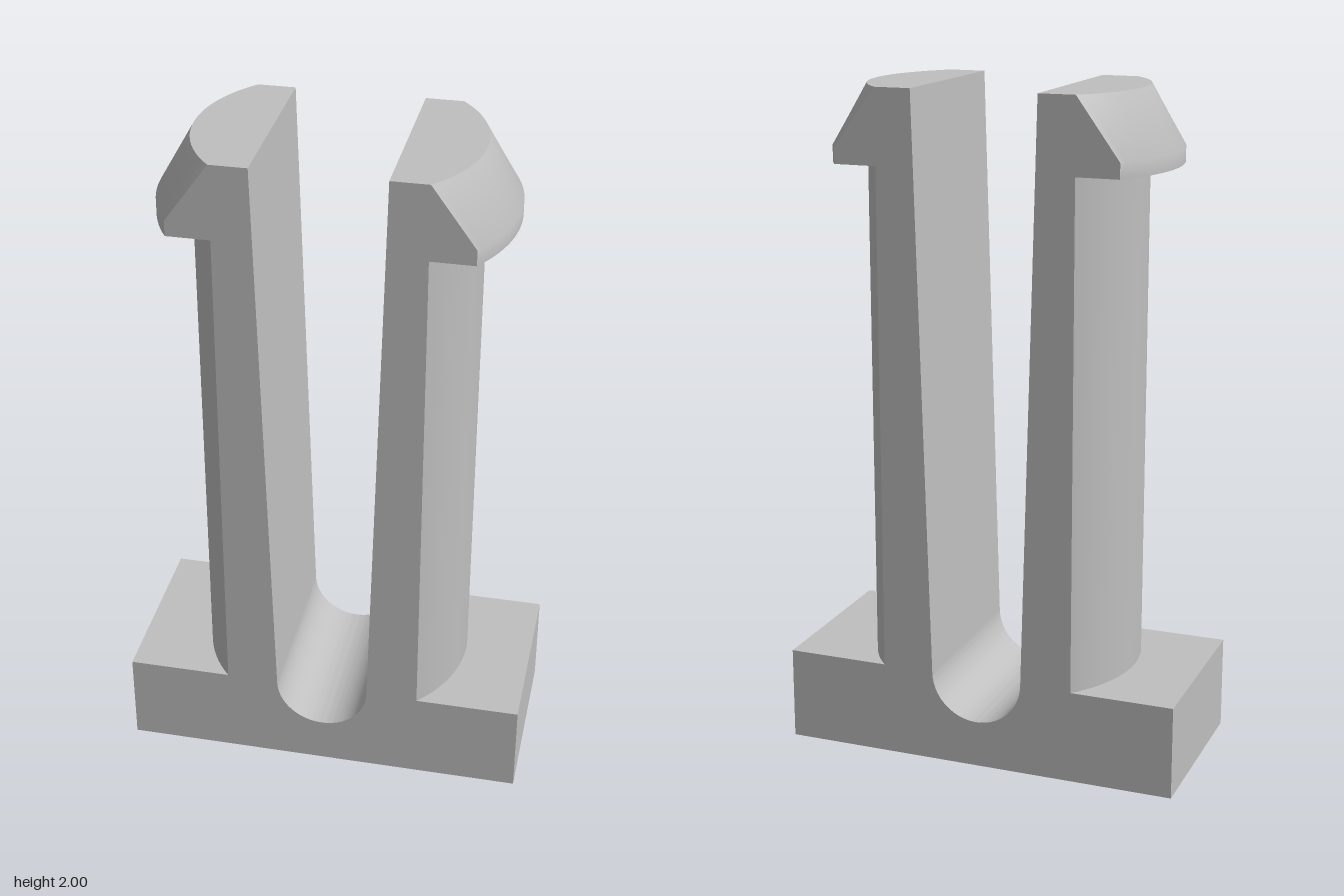
import * as THREE from 'three';
import { toCreasedNormals } from 'three/addons/utils/BufferGeometryUtils.js';

const HALF_DEPTH = 0.277;
const BASE_TOP = 0.28;
const SLOT_RADIUS = 0.14;
const CREASE = 0.65;

// Slot half-width widens slightly towards the top
const slotX = (y) => SLOT_RADIUS + 0.047 * (y - BASE_TOP) / (2 - BASE_TOP);

// Base slab with the rounded slot floor cut into it
function baseGeometry() {
  const shape = new THREE.Shape();
  shape.moveTo(-0.605, 0);
  shape.lineTo(0.605, 0);
  shape.lineTo(0.605, BASE_TOP);
  shape.lineTo(SLOT_RADIUS, BASE_TOP);
  shape.absarc(0, BASE_TOP, SLOT_RADIUS, 0, -Math.PI, true);
  shape.lineTo(-0.605, BASE_TOP);
  shape.closePath();
  const geometry = new THREE.ExtrudeGeometry(shape, {
    depth: HALF_DEPTH * 2, bevelEnabled: false, curveSegments: 32,
  });
  geometry.translate(0, 0, -HALF_DEPTH);
  return toCreasedNormals(geometry, CREASE);
}

// Prong: round outside, flat front and back, slanted inner wall, barbed head
function prongGeometry() {
  const levels = [[BASE_TOP, 0.405], [1.78, 0.405], [1.78, 0.505], [1.825, 0.505], [2, 0.405]];
  const steps = 32;
  const rings = levels.map(([y, radius]) => {
    const ring = [[slotX(y), y, HALF_DEPTH]];
    const reach = Math.asin(HALF_DEPTH / radius);
    for (let i = 0; i <= steps; i++) {
      const a = reach * (1 - 2 * i / steps);
      ring.push([radius * Math.cos(a), y, radius * Math.sin(a)]);
    }
    ring.push([slotX(y), y, -HALF_DEPTH]);
    return ring;
  });

  const positions = [];
  const triangle = (a, b, c) => positions.push(...a, ...b, ...c);
  const count = rings[0].length;
  for (let k = 0; k < rings.length - 1; k++) {
    const low = rings[k], high = rings[k + 1];
    const ledge = levels[k][0] === levels[k + 1][0];
    for (let i = 0; i < count; i++) {
      // The flat ledge only needs its curved strip
      if (ledge && (i === 0 || i >= count - 2)) continue;
      const j = (i + 1) % count;
      triangle(low[i], low[j], high[j]);
      triangle(low[i], high[j], high[i]);
    }
  }
  // Top cap
  const top = rings[rings.length - 1];
  for (let i = 1; i < count - 1; i++) triangle(top[0], top[i], top[i + 1]);

  const geometry = new THREE.BufferGeometry();
  geometry.setAttribute('position', new THREE.Float32BufferAttribute(positions, 3));
  return toCreasedNormals(geometry, CREASE);
}

export function createModel() {
  const model = new THREE.Group();
  model.name = 'snapClip';
  const grey = new THREE.MeshStandardMaterial({ color: 0xbfbfbf });
  grey.name = 'light grey';

  const base = new THREE.Mesh(baseGeometry(), grey);
  base.name = 'base';
  model.add(base);

  // Two matching prongs facing away from each other
  const prong = prongGeometry();
  ['leftProng', 'rightProng'].forEach((name, i) => {
    const mesh = new THREE.Mesh(prong, grey);
    mesh.name = name;
    mesh.rotation.y = i * Math.PI;
    model.add(mesh);
  });
  return model;
}
